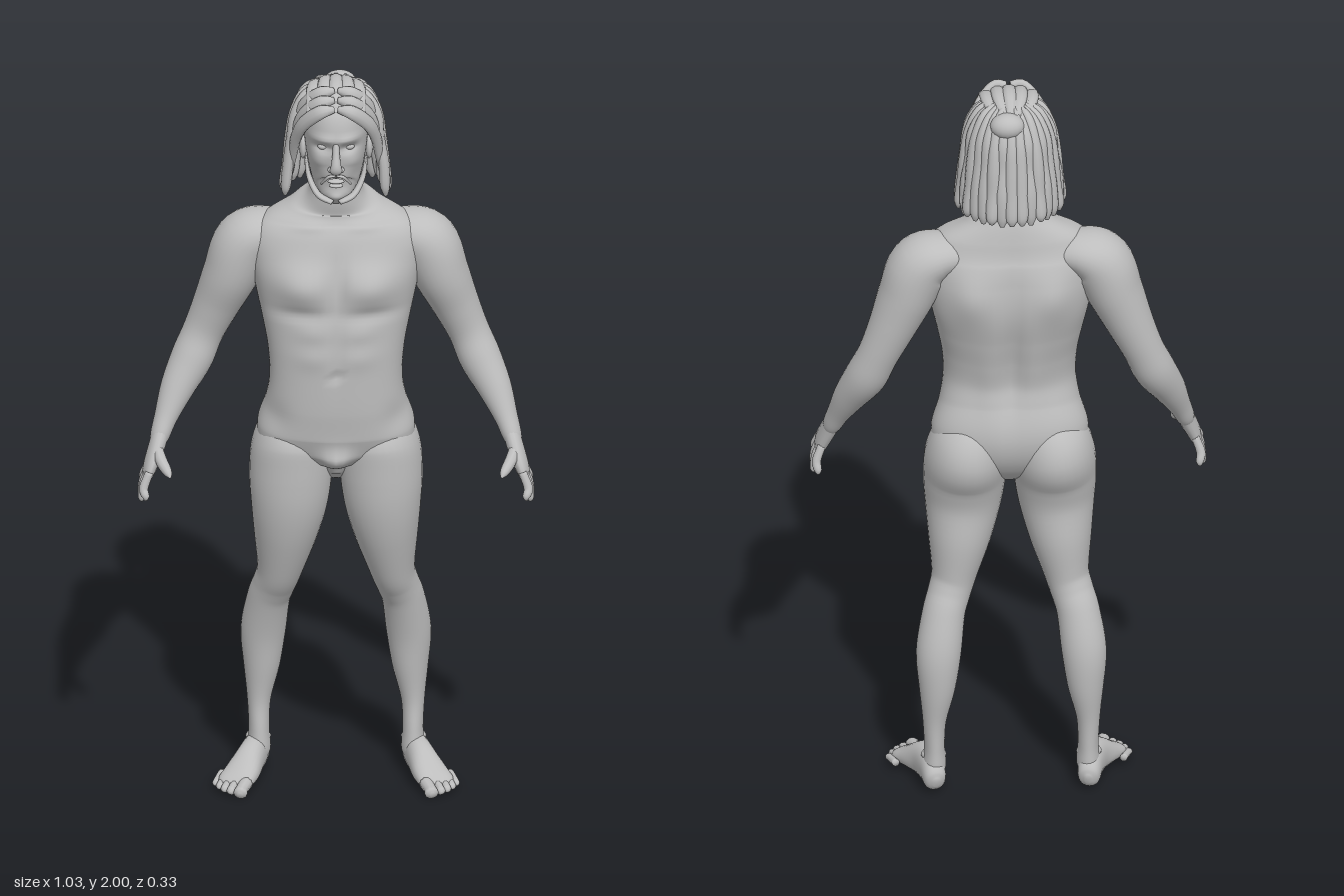
import * as THREE from 'three';

const V = (x, y, z) => new THREE.Vector3(x, y, z);
const UP = V(0, 1, 0), FRONT = V(0, 0, 1);
const skin = new THREE.MeshStandardMaterial({ color: 0xbdbdbd });
skin.name = 'grey clay';

// Smooth loft: rows are [x, y, z, half width, half depth], depth lies along ref.
function limb(name, rows, { ref = FRONT, seg = 16, steps = 5, power = 2, side = 1, shape } = {}) {
  const path = new THREE.CatmullRomCurve3(rows.map(r => V(r[0] * side, r[1], r[2])), false, 'catmullrom', 0.5);
  const size = new THREE.CatmullRomCurve3(rows.map(r => V(r[3], r[4], 0)), false, 'catmullrom', 0.5);
  const n = (rows.length - 1) * steps, pos = [], idx = [];
  const curve = c => Math.sign(c) * Math.abs(c) ** (2 / power);
  for (let i = 0; i <= n; i++) {
    const c = path.getPoint(i / n), s = size.getPoint(i / n), t = path.getTangent(i / n);
    const w = ref.clone().addScaledVector(t, -t.dot(ref)).normalize();
    const u = w.clone().cross(t);
    for (let j = 0; j < seg; j++) {
      const a = j / seg * Math.PI * 2;
      const p = c.clone().addScaledVector(u, Math.max(s.x, 0.001) * curve(Math.cos(a)))
        .addScaledVector(w, Math.max(s.y, 0.001) * curve(Math.sin(a)));
      if (shape) shape(p);
      pos.push(p.x, p.y, p.z);
      if (i < n) {
        const k = (j + 1) % seg, o = i * seg;
        idx.push(o + j, o + k, o + seg + k, o + j, o + seg + k, o + seg + j);
      }
    }
  }
  // end caps
  [0, n].forEach(i => {
    const e = path.getPoint(i / n), m = pos.length / 3, o = i * seg;
    pos.push(e.x, e.y, e.z);
    for (let j = 0; j < seg; j++) {
      const k = (j + 1) % seg;
      idx.push(m, o + (i ? j : k), o + (i ? k : j));
    }
  });
  const g = new THREE.BufferGeometry();
  g.setAttribute('position', new THREE.Float32BufferAttribute(pos, 3));
  g.setIndex(idx);
  g.computeVertexNormals();
  const mesh = new THREE.Mesh(g, skin);
  mesh.name = name;
  return mesh;
}

function ball(name, x, y, z, rx, ry, rz) {
  const m = new THREE.Mesh(new THREE.SphereGeometry(1, 20, 14), skin);
  m.position.set(x, y, z);
  m.scale.set(rx, ry, rz);
  m.name = name;
  return m;
}

// Soft swellings and hollows: [x, y, spread x, spread y, amount], mirrored in x.
const swell = (p, list) => list.reduce((sum, [x, y, sx, sy, d]) =>
  sum + d * Math.exp(-(((Math.abs(p.x) - x) / sx) ** 2) - ((p.y - y) / sy) ** 2), 0);
const clamp01 = v => Math.min(1, Math.max(0, v));

const chest = [[0.09, 1.45, 0.075, 0.055, 0.03], [0.09, 1.37, 0.07, 0.018, -0.008], [0, 1.45, 0.018, 0.07, -0.012],
  [0, 1.27, 0.012, 0.1, -0.005], [0, 1.2, 0.012, 0.01, -0.012], [0.06, 1.25, 0.045, 0.03, 0.005],
  [0.06, 1.32, 0.045, 0.025, 0.005], [0.16, 1.07, 0.035, 0.04, -0.008], [0, 0.94, 0.04, 0.04, 0.04],
  [0.07, 1.6, 0.05, 0.012, 0.006]];
const back = [[0, 1.3, 0.025, 0.22, 0.018], [0.11, 1.46, 0.055, 0.07, -0.018], [0.06, 1.2, 0.03, 0.1, -0.006]];
const face = [[0.034, 1.845, 0.022, 0.013, -0.016], [0.03, 1.872, 0.035, 0.01, 0.008],
  [0.05, 1.805, 0.02, 0.018, 0.005], [0.055, 1.76, 0.018, 0.02, -0.005], [0, 1.7, 0.025, 0.014, 0.01],
  [0, 1.745, 0.025, 0.018, 0.008]];

function addTorso(g) {
  g.add(limb('torso', [
    [0, 0.885, 0.02, 0.015, 0.02], [0, 0.905, 0, 0.075, 0.06], [0, 0.95, -0.012, 0.185, 0.1],
    [0, 1.02, -0.015, 0.205, 0.122], [0, 1.1, 0, 0.183, 0.117], [0, 1.17, 0.007, 0.173, 0.112],
    [0, 1.25, 0.002, 0.178, 0.118], [0, 1.33, -0.01, 0.193, 0.125], [0, 1.41, -0.023, 0.21, 0.128],
    [0, 1.49, -0.026, 0.222, 0.118], [0, 1.55, -0.028, 0.222, 0.105], [0, 1.6, -0.033, 0.19, 0.085],
    [0, 1.64, -0.03, 0.12, 0.075], [0, 1.68, -0.018, 0.072, 0.068], [0, 1.75, -0.008, 0.062, 0.062],
  ], {
    seg: 72, steps: 8, power: 2.3, shape: p => {
      p.z += swell(p, chest) * clamp01(p.z / 0.04) + swell(p, back) * clamp01((-p.z - 0.03) / 0.05);
    },
  }));
}

function addArm(g, side) {
  const o = { side };
  g.add(limb('arm', [
    [0.11, 1.55, -0.05, 0.035, 0.05], [0.185, 1.548, -0.052, 0.062, 0.08], [0.237, 1.515, -0.052, 0.08, 0.088],
    [0.272, 1.43, -0.053, 0.074, 0.084], [0.31, 1.34, -0.06, 0.062, 0.066], [0.345, 1.26, -0.06, 0.054, 0.054],
    [0.375, 1.19, -0.045, 0.055, 0.055], [0.412, 1.12, -0.014, 0.045, 0.045], [0.442, 1.05, 0.02, 0.031, 0.034],
    [0.46, 1.0, 0.045, 0.024, 0.03], [0.468, 0.975, 0.06, 0.01, 0.012],
  ], { side, seg: 28 }));
  // hand with fanned fingers
  g.add(limb('palm', [
    [0.452, 1.025, 0.033, 0.022, 0.026], [0.467, 0.98, 0.06, 0.022, 0.037], [0.482, 0.94, 0.082, 0.019, 0.045],
    [0.49, 0.915, 0.088, 0.014, 0.044], [0.493, 0.9, 0.09, 0.005, 0.028],
  ], o));
  const tips = [[0.495, 0.865, 0.145], [0.505, 0.848, 0.108], [0.506, 0.846, 0.068], [0.497, 0.86, 0.028]];
  tips.forEach(([x, y, z], i) => {
    const bz = 0.122 - i * 0.024;
    g.add(limb('finger', [
      [0.485, 0.935, bz, 0.011, 0.012], [0.5, 0.895, (bz + z) / 2, 0.012, 0.012],
      [x, y + 0.012, z, 0.01, 0.01], [x, y, z, 0.003, 0.003],
    ], { side, seg: 10 }));
  });
  g.add(limb('thumb', [
    [0.465, 0.985, 0.075, 0.014, 0.016], [0.455, 0.965, 0.112, 0.016, 0.016],
    [0.438, 0.947, 0.148, 0.012, 0.012], [0.431, 0.938, 0.164, 0.003, 0.003],
  ], { side, seg: 10, ref: UP }));
}

function addLeg(g, side) {
  g.add(limb('leg', [
    [0.1, 1.08, -0.045, 0.02, 0.04], [0.106, 1.03, -0.04, 0.08, 0.1], [0.114, 0.96, -0.03, 0.105, 0.128],
    [0.118, 0.88, -0.014, 0.108, 0.112], [0.122, 0.8, -0.01, 0.1, 0.1], [0.132, 0.7, -0.025, 0.082, 0.09],
    [0.146, 0.6, -0.04, 0.06, 0.07], [0.16, 0.55, -0.057, 0.056, 0.06], [0.175, 0.5, -0.077, 0.056, 0.059],
    [0.189, 0.4, -0.102, 0.059, 0.059], [0.193, 0.3, -0.108, 0.048, 0.052], [0.2, 0.2, -0.106, 0.031, 0.04],
    [0.2, 0.12, -0.1, 0.027, 0.043], [0.2, 0.06, -0.098, 0.03, 0.045], [0.2, 0.025, -0.1, 0.01, 0.02],
  ], { side, seg: 32 }));
  g.add(ball('kneecap', side * 0.163, 0.56, -0.02, 0.034, 0.045, 0.025));
  g.add(ball('ankleBone', side * 0.202, 0.095, -0.1, 0.033, 0.02, 0.02));
  g.add(limb('foot', [
    [0.197, 0.036, -0.155, 0.008, 0.012], [0.2, 0.04, -0.14, 0.028, 0.034], [0.208, 0.054, -0.095, 0.033, 0.05],
    [0.222, 0.053, -0.045, 0.037, 0.047], [0.243, 0.037, 0.005, 0.046, 0.032], [0.262, 0.026, 0.04, 0.047, 0.02],
    [0.27, 0.02, 0.06, 0.03, 0.009],
  ], { side, seg: 24, ref: UP, power: 2.2 }));
  const tips = [[0.251, 0.11], [0.275, 0.096], [0.291, 0.082], [0.304, 0.064], [0.314, 0.042]];
  tips.forEach(([x, z], i) => {
    const r = i ? 0.0125 - i * 0.0006 : 0.018;
    g.add(limb('toe', [
      [x - 0.018, 0.026, z - 0.06, r, r], [x - 0.006, 0.021, z - 0.024, r * 0.9, r * 0.9],
      [x - 0.002, 0.017, z - 0.008, r, r * 0.9], [x, 0.015, z, r * 0.3, r * 0.3],
    ], { side, seg: 10, ref: UP }));
  });
}

function addHead(g) {
  g.add(limb('head', [
    [0, 1.678, 0.068, 0.012, 0.018], [0, 1.69, 0.058, 0.038, 0.045], [0, 1.72, 0.03, 0.058, 0.08],
    [0, 1.77, 0.012, 0.072, 0.1], [0, 1.83, 0.003, 0.081, 0.114], [0, 1.88, 0, 0.084, 0.12],
    [0, 1.93, -0.005, 0.079, 0.108], [0, 1.97, -0.01, 0.052, 0.07], [0, 1.985, -0.01, 0.01, 0.01],
  ], { seg: 64, steps: 8, power: 2.15, shape: p => { p.z += swell(p, face) * clamp01(p.z / 0.05); } }));
  g.add(limb('nose', [
    [0, 1.862, 0.112, 0.008, 0.01], [0, 1.83, 0.122, 0.01, 0.013], [0, 1.803, 0.13, 0.014, 0.015],
    [0, 1.79, 0.128, 0.016, 0.012], [0, 1.782, 0.118, 0.006, 0.006],
  ]));
  [[1.757, 0.117, 0.022], [1.744, 0.114, 0.019]].forEach(([y, z, w]) =>
    g.add(ball('lip', 0, y, z, w, 0.006, 0.012)));
  [1, -1].forEach(s => {
    g.add(ball('eye', s * 0.034, 1.845, 0.089, 0.014, 0.009, 0.011));
    g.add(ball('nostril', s * 0.013, 1.79, 0.119, 0.009, 0.008, 0.011));
    g.add(ball('ear', s * 0.086, 1.81, 0.008, 0.01, 0.034, 0.019));
    // moustache and jaw beard
    g.add(limb('moustache', [[0.002, 1.772, 0.12, 0.003, 0.004], [0.02, 1.766, 0.112, 0.004, 0.006],
      [0.038, 1.74, 0.092, 0.003, 0.004]], { side: s, seg: 8 }));
    g.add(limb('jawBeard', [[0.079, 1.79, 0.025, 0.004, 0.012], [0.07, 1.74, 0.045, 0.007, 0.015],
      [0.046, 1.704, 0.08, 0.008, 0.013], [0.01, 1.69, 0.1, 0.006, 0.01]], { side: s, seg: 10 }));
  });
}

function addHair(g) {
  // scalp cap, tilted back from the forehead
  const cap = new THREE.Mesh(new THREE.SphereGeometry(1, 40, 20, 0, Math.PI * 2, 0, Math.PI * 0.5), skin);
  cap.geometry.rotateX(-0.45).scale(0.102, 0.117, 0.126).translate(0, 1.877, -0.006);
  cap.name = 'scalpHair';
  cap.material.side = THREE.DoubleSide;
  g.add(cap);
  // hanging locks round the sides and back
  const count = 19;
  for (let i = 0; i < count; i++) {
    const a = (i / (count - 1) - 0.5) * Math.PI * 1.12;
    const dir = V(Math.sin(a), 0, -Math.cos(a));
    const w = 0.004 * Math.sin(i * 2.4);
    const row = (r, y, width, depth) => [dir.x * r, y, -0.012 + dir.z * r, width, depth];
    g.add(limb('lock', [
      row(0.04, 1.978, 0.006, 0.008), row(0.082, 1.955 + w, 0.012, 0.011), row(0.11, 1.9, 0.016, 0.012),
      row(0.119 + w, 1.83, 0.018, 0.013), row(0.127, 1.76, 0.019, 0.014), row(0.133 + w, 1.7, 0.017, 0.013),
      row(0.135 + w, 1.675 + w, 0.006, 0.005),
    ], { ref: dir, seg: 10 }));
  }
  // swept front strands, parted in the middle
  [1, -1].forEach(s => [0, 1, 2].forEach(k => {
    const d = k * 0.026;
    g.add(limb('frontStrand', [
      [0.004, 1.955 + d * 0.6, 0.106 - d, 0.008, 0.01], [0.04, 1.949 + d * 0.6, 0.11 - d, 0.019, 0.014],
      [0.083, 1.905 + d * 0.5, 0.08 - d, 0.02, 0.013], [0.104, 1.85, 0.045 - d, 0.018, 0.011],
      [0.113, 1.79, 0.018 - d, 0.014, 0.01], [0.124, 1.72, -0.01 - d, 0.01, 0.009],
      [0.126, 1.69, -0.016 - d, 0.004, 0.004],
    ], { side: s, seg: 10, ref: V(s * 0.7, 0.3, 0.65).normalize() }));
  }));
  // crown strands and gathered knot
  for (let i = -2; i <= 2; i++) {
    const x = i * 0.03, y = 1.99 - x * x * 4;
    g.add(limb('crownStrand', [
      [x * 1.1, y - 0.04, 0.09, 0.012, 0.008], [x, y - 0.008, 0.04, 0.018, 0.011],
      [x * 0.9, y - 0.002, -0.02, 0.018, 0.011], [x * 0.5, y - 0.024, -0.08, 0.014, 0.012],
    ], { ref: UP, seg: 10 }));
  }
  g.add(ball('hairKnot', 0.01, 1.945, -0.095, 0.045, 0.034, 0.036));
}

export function createModel() {
  const g = new THREE.Group();
  g.name = 'standingMan';
  const part = (name, build, ...args) => {
    const sub = new THREE.Group();
    sub.name = name;
    build(sub, ...args);
    g.add(sub);
  };
  part('body', addTorso);
  part('headAndFace', addHead);
  part('hair', addHair);
  [[1, 'left'], [-1, 'right']].forEach(([s, n]) => {
    part(n + 'Arm', addArm, s);
    part(n + 'Leg', addLeg, s);
  });
  return g;
}
